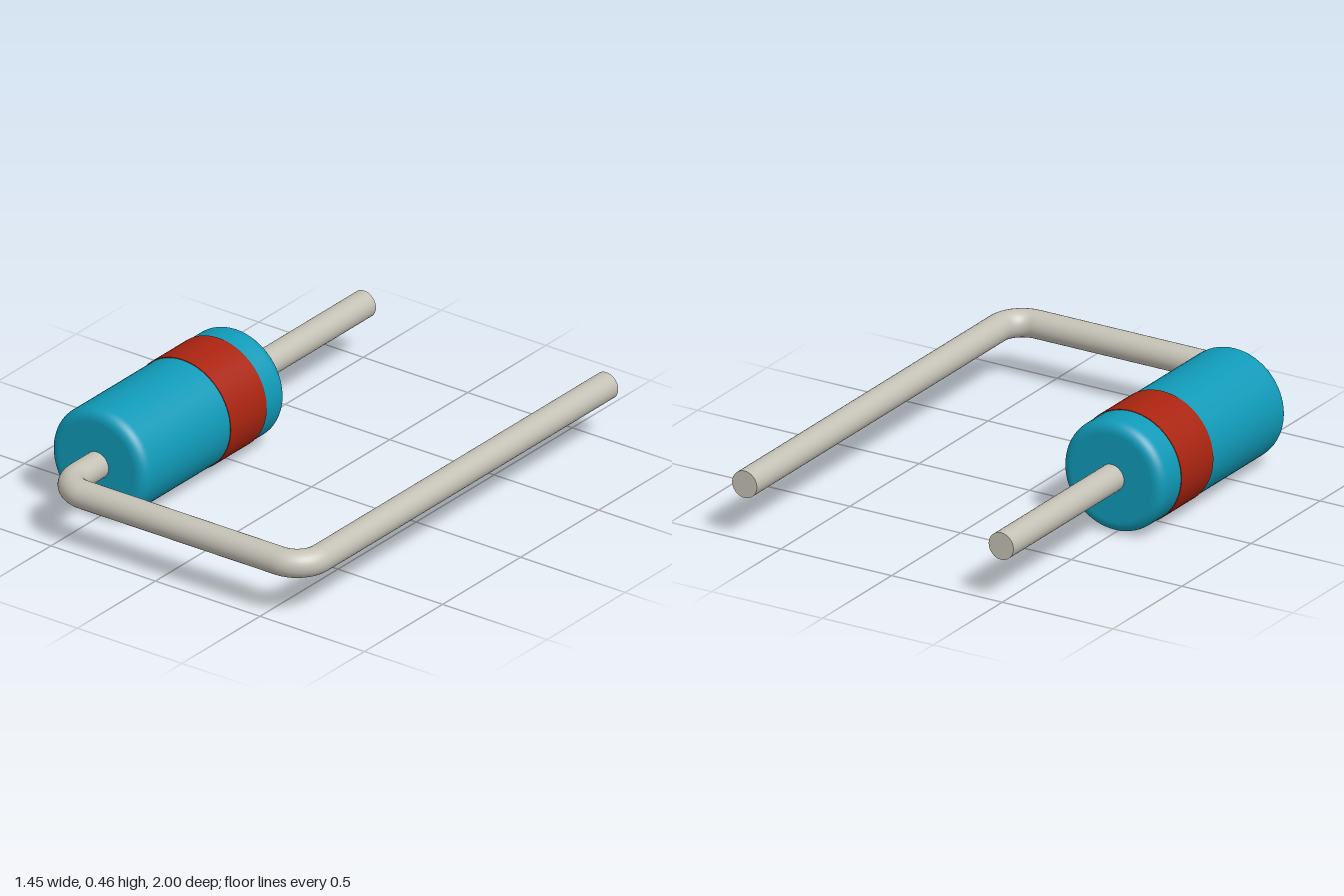
import * as THREE from 'three';

export function createModel() {
  const group = new THREE.Group();
  const mat = (name, color) => {
    const m = new THREE.MeshStandardMaterial({ color });
    m.name = name;
    return m;
  };
  const teal = mat('tealBody', 0x109ab8);
  const red = mat('redBand', 0xaa2410);
  const metal = mat('leadMetal', 0xc4c1b5);

  const AXIS_Y = 0.232, LEFT_X = -0.495, RIGHT_X = 0.664, FRONT_Z = 0.944;
  const WIRE = 0.056, BEND = 0.11;

  const add = (name, geometry, material, x, z, rotation) => {
    const mesh = new THREE.Mesh(geometry, material);
    mesh.name = name;
    mesh.position.set(x, AXIS_Y, z);
    mesh.rotation.set(...rotation);
    group.add(mesh);
  };
  const Q = Math.PI / 2;

  // Cylindrical body with rounded rims
  const R = 0.229, HALF = 0.456, F = 0.045;
  const profile = [new THREE.Vector2(0, -HALF), new THREE.Vector2(R - F - 0.004, -HALF)];
  for (const side of [-1, 1]) {
    for (let i = 0; i <= 8; i++) {
      const a = side < 0 ? -Q + (i / 8) * Q : (i / 8) * Q;
      profile.push(new THREE.Vector2(R - F + F * Math.cos(a), side * (HALF - F) + F * Math.sin(a)));
    }
    // Short guard step keeps the long wall evenly shaded
    if (side < 0) profile.push(new THREE.Vector2(R, -HALF + F + 0.004), new THREE.Vector2(R, HALF - F - 0.004));
  }
  profile.push(new THREE.Vector2(R - F - 0.004, HALF), new THREE.Vector2(0, HALF));
  add('body', new THREE.LatheGeometry(profile, 64), teal, LEFT_X, 0.256, [Q, 0, 0]);

  // Polarity band
  add('band', new THREE.CylinderGeometry(0.232, 0.232, 0.23, 64), red, LEFT_X, 0.05, [Q, 0, 0]);

  // Straight runs of the wire lead
  const bendZ = FRONT_Z - BEND;
  const rod = (length) => new THREE.CylinderGeometry(WIRE, WIRE, length, 32);
  for (const [name, x] of [['bodyLead', LEFT_X], ['returnLead', RIGHT_X]]) {
    add(name, rod(bendZ + 1), metal, x, (bendZ - 1) / 2, [Q, 0, 0]);
  }
  add('crossLead', rod(RIGHT_X - LEFT_X - 2 * BEND), metal, (LEFT_X + RIGHT_X) / 2, FRONT_Z, [0, 0, Q]);

  // Quarter-turn bends at the front corners
  const bend = () => new THREE.TorusGeometry(BEND, WIRE, 32, 16, Q);
  add('leftBend', bend(), metal, RIGHT_X - BEND, bendZ, [Q, 0, 0]);
  add('rightBend', bend(), metal, LEFT_X + BEND, bendZ, [Q, 0, Q]);

  return group;
}
